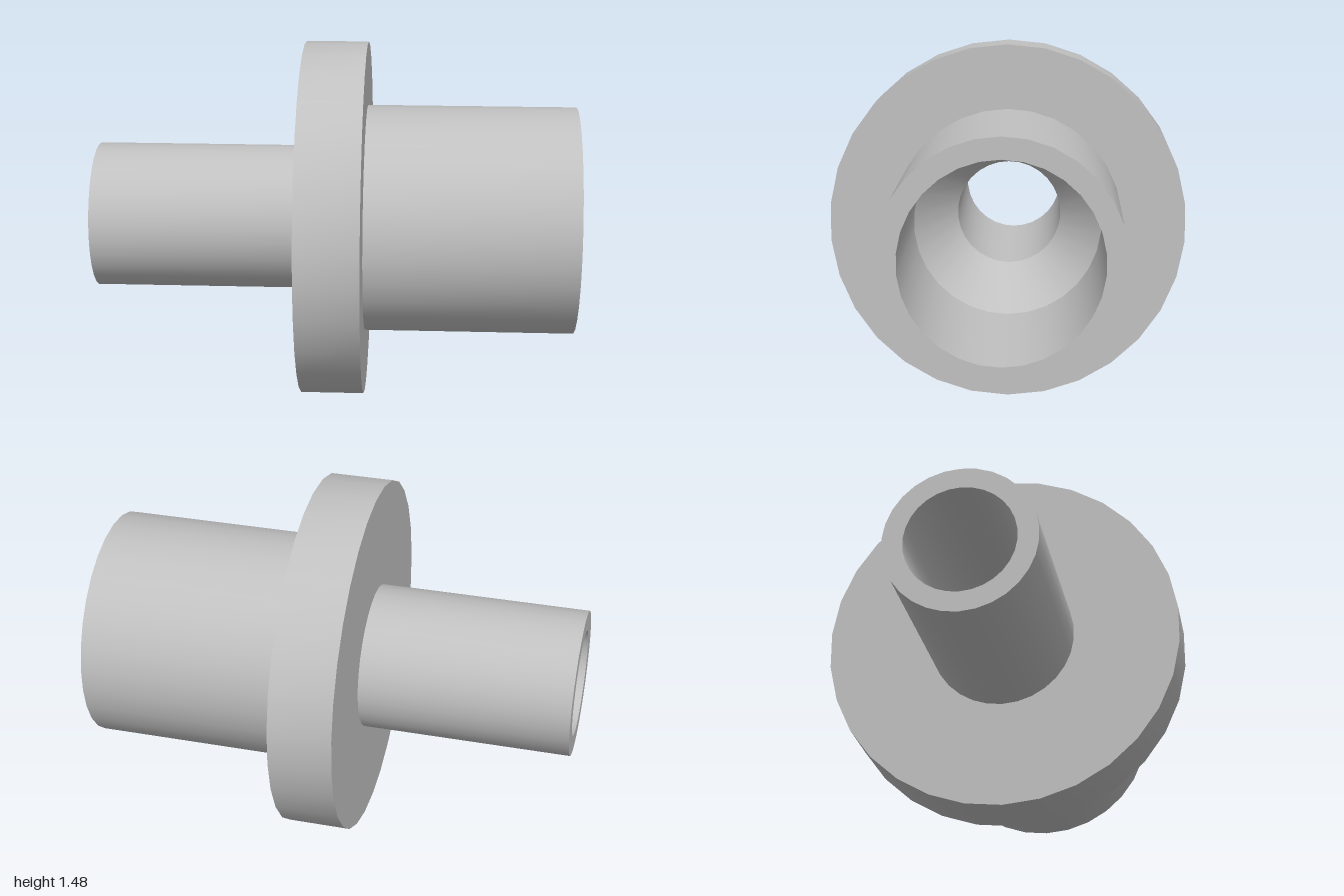
import * as THREE from 'three';
import { toCreasedNormals } from 'three/addons/utils/BufferGeometryUtils.js';

const SIDES = 30;
const AXIS_HEIGHT = 0.74;

// Sections along x, with outer and bore radii
const END = 1, FLANGE_HALF = 0.13;
const FLANGE_R = 0.74;
const WIDE = { outer: 0.475, bore: 0.39 };
const NARROW = { outer: 0.302, bore: 0.22 };

export function createModel() {
  const group = new THREE.Group();
  const grey = new THREE.MeshStandardMaterial({ color: 0xc0c0c0 });
  grey.name = 'plain grey';

  // Spins a profile of [radius, x] points around the x axis
  function addTurned(name, profile) {
    const points = profile.map(([r, x]) => new THREE.Vector2(r, x));
    const lathe = new THREE.LatheGeometry(points, SIDES, Math.PI / 2);
    const geometry = toCreasedNormals(lathe, 0.45);
    geometry.rotateZ(-Math.PI / 2);
    const mesh = new THREE.Mesh(geometry, grey);
    mesh.name = name;
    mesh.position.y = AXIS_HEIGHT;
    group.add(mesh);
  }

  // Narrow tube: bore, end rim, outer wall
  addTurned('narrowTube', [
    [NARROW.bore, -FLANGE_HALF], [NARROW.bore, -END],
    [NARROW.outer, -END], [NARROW.outer, -FLANGE_HALF],
  ]);

  // Collar between the tubes
  addTurned('flange', [
    [NARROW.outer, -FLANGE_HALF], [FLANGE_R, -FLANGE_HALF],
    [FLANGE_R, FLANGE_HALF], [WIDE.outer, FLANGE_HALF],
  ]);

  // Wide tube: outer wall, end rim, bore
  addTurned('wideTube', [
    [WIDE.outer, FLANGE_HALF], [WIDE.outer, END],
    [WIDE.bore, END], [WIDE.bore, FLANGE_HALF],
  ]);

  // Tapered bore joining the two tubes inside the flange
  addTurned('taperedBore', [
    [WIDE.bore, FLANGE_HALF], [NARROW.bore, -FLANGE_HALF],
  ]);

  return group;
}
